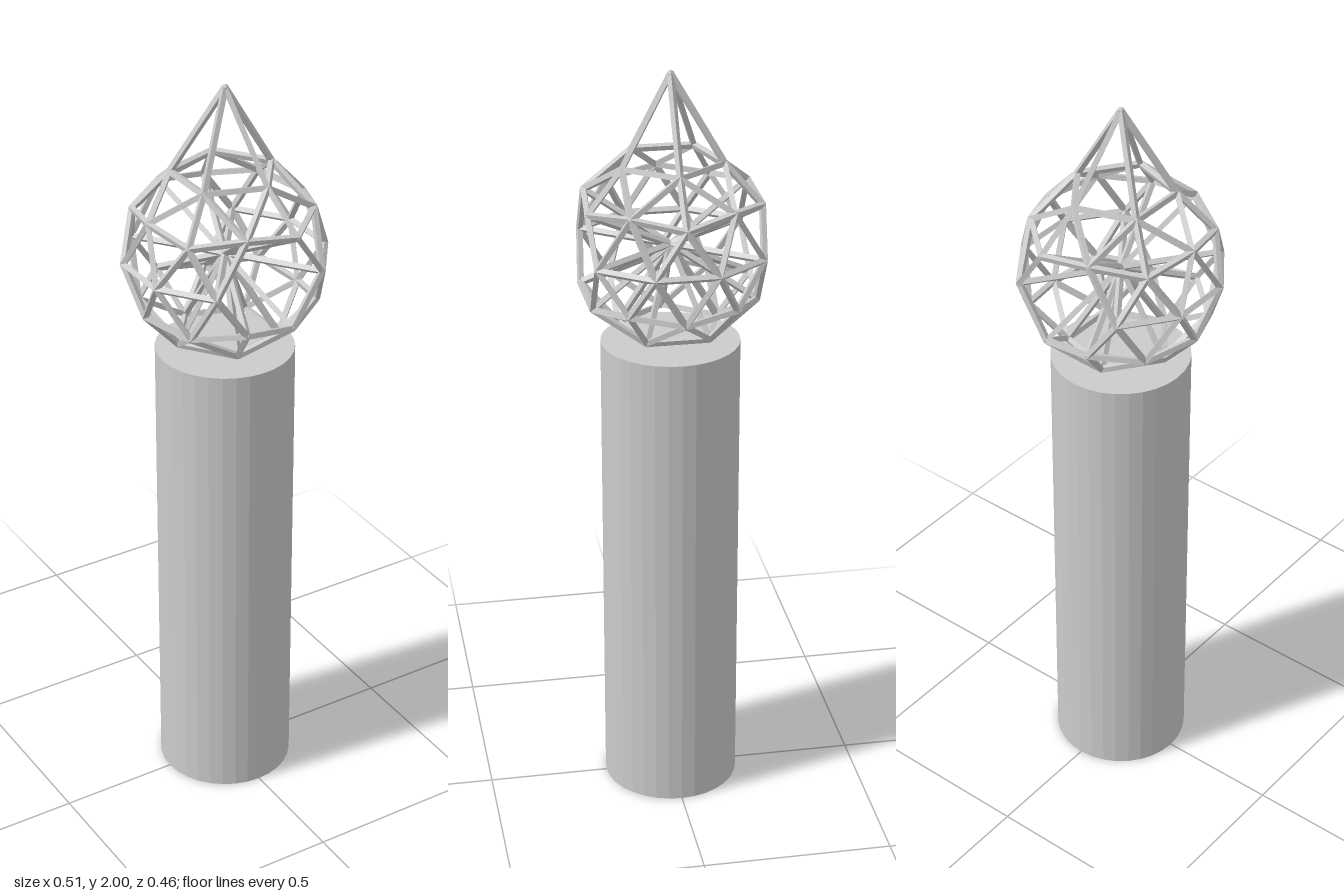
import * as THREE from 'three';
import { mergeGeometries } from 'three/addons/utils/BufferGeometryUtils.js';

const CENTRE = new THREE.Vector3(0, 1.545, 0);
const RADIUS = 0.259;
const STRUT = 0.0095;

// Corners of a once-subdivided icosahedron, on the unit sphere
function sphereCorners() {
  const corners = [];
  const add = (y, r, degrees) => {
    const a = THREE.MathUtils.degToRad(degrees);
    corners.push(new THREE.Vector3(r * Math.cos(a), y, r * Math.sin(a)));
  };
  add(1, 0, 0);
  for (let k = 0; k < 5; k++) {
    add(0.8507, 0.5257, 72 * k);
    add(0.4472, 0.8944, 72 * k);
    add(0.5257, 0.8507, 72 * k + 36);
  }
  const lower = corners.map((p) => p.clone().negate());
  for (let k = 0; k < 10; k++) add(0, 1, 18 + 36 * k);
  return corners.concat(lower);
}

// Diamond-section strut with one ridge facing away from the centre
function strut(a, b) {
  const along = b.clone().sub(a);
  const length = along.length();
  along.normalize();
  const out = a.clone().add(b).multiplyScalar(0.5).sub(CENTRE);
  out.addScaledVector(along, -out.dot(along));
  if (out.length() < 0.01) {
    out.set(0, 1, 0).addScaledVector(along, -along.y);
  }
  out.normalize();
  const side = out.clone().cross(along);
  const matrix = new THREE.Matrix4().makeBasis(out, along, side);
  matrix.setPosition(a.clone().add(b).multiplyScalar(0.5));
  return new THREE.CylinderGeometry(STRUT, STRUT, length, 4).applyMatrix4(matrix);
}

export function createModel() {
  const group = new THREE.Group();
  const material = new THREE.MeshStandardMaterial({ color: 0xcccccc, flatShading: true });

  // Candle body
  const body = new THREE.Mesh(new THREE.CylinderGeometry(0.18, 0.18, 1.285, 32), material);
  body.name = 'candleBody';
  body.position.y = 1.285 / 2;
  group.add(body);

  // Flame cage: tip drawn upward; bottom, front and back corners drawn to the centre
  const unit = sphereCorners();
  const placed = unit.map((p) => {
    if (p.y > 0.99) return new THREE.Vector3(0, 1.99, 0);
    if (p.y < -0.99 || Math.abs(p.z) > 0.99) return CENTRE.clone();
    return p.clone().multiplyScalar(RADIUS).add(CENTRE);
  });
  const parts = [];
  for (let i = 0; i < unit.length; i++) {
    for (let j = i + 1; j < unit.length; j++) {
      if (unit[i].distanceTo(unit[j]) < 0.7 && placed[i].distanceTo(placed[j]) > 0.01) {
        parts.push(strut(placed[i], placed[j]));
      }
    }
  }
  const struts = new THREE.Mesh(mergeGeometries(parts), material);
  struts.name = 'flameStruts';
  group.add(struts);

  // Small joints closing the strut ends
  const joints = placed.map((p) =>
    new THREE.IcosahedronGeometry(STRUT * 1.05, 0).translate(p.x, p.y, p.z));
  const jointMesh = new THREE.Mesh(mergeGeometries(joints), material);
  jointMesh.name = 'flameJoints';
  group.add(jointMesh);

  return group;
}
